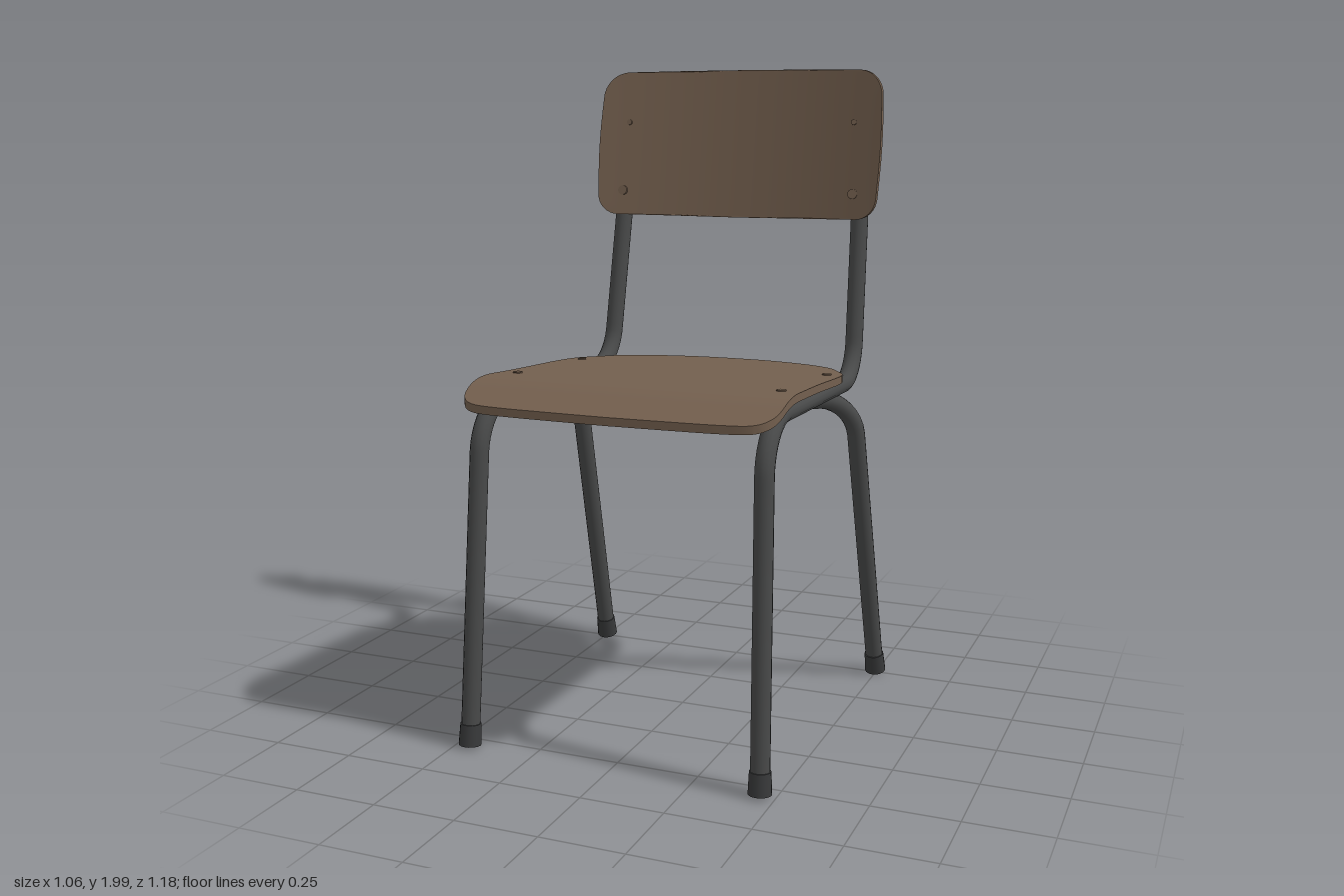
import * as THREE from 'three';
import { toCreasedNormals } from 'three/addons/utils/BufferGeometryUtils.js';

const wood = new THREE.MeshStandardMaterial({ color: 0x735f4e });
wood.name = 'brown wood';
const steel = new THREE.MeshStandardMaterial({ color: 0x484949 });
steel.name = 'dark grey steel';
const rubber = new THREE.MeshStandardMaterial({ color: 0x38393a });
rubber.name = 'black rubber';

const V = (x, y, z) => new THREE.Vector3(x, y, z);
const R = 0.028; // tube radius

function add(group, name, geometry, material) {
  const mesh = new THREE.Mesh(geometry, material);
  mesh.name = name;
  group.add(mesh);
  return mesh;
}

// Straight runs joined by smooth bends; bends[i] is the trim at inner corner i
function bentTube(points, bends) {
  const path = new THREE.CurvePath();
  let from = points[0];
  for (let i = 1; i < points.length - 1; i++) {
    const p = points[i];
    const toward = (q) => p.clone().add(q.clone().sub(p).setLength(bends[i - 1]));
    const a = toward(points[i - 1]), b = toward(points[i + 1]);
    const ka = p.clone().lerp(a, 0.45), kb = p.clone().lerp(b, 0.45);
    path.add(new THREE.LineCurve3(from, a));
    path.add(new THREE.CubicBezierCurve3(a, ka, kb, b));
    from = b;
  }
  path.add(new THREE.LineCurve3(from, points[points.length - 1]));
  return new THREE.TubeGeometry(path, 120, R, 14);
}

// Thin curved panel: rows follow a half outline of [halfWidth, s];
// place(x, s, side) gives the point on the face (side 1) or underside (side 0)
function panel(outline, place, across = 20) {
  const pos = [], index = [], ring = 2 * (across + 1);
  for (const [w, s] of outline) {
    for (let j = 0; j <= across; j++) pos.push(...place(w * (2 * j / across - 1), s, 1).toArray());
    for (let j = across; j >= 0; j--) pos.push(...place(w * (2 * j / across - 1), s, 0).toArray());
  }
  for (let i = 0; i < outline.length - 1; i++) {
    for (let j = 0; j < ring; j++) {
      const a = i * ring + j, b = i * ring + (j + 1) % ring;
      index.push(a, a + ring, b, b, a + ring, b + ring);
    }
  }
  const g = new THREE.BufferGeometry();
  g.setAttribute('position', new THREE.Float32BufferAttribute(pos, 3));
  g.setIndex(index);
  return toCreasedNormals(g, 0.7);
}

// Seat height along z: gentle fall to the back, rolled front edge
const seatLine = new THREE.SplineCurve([[-0.47, 1.047], [-0.3, 1.056], [0, 1.073], [0.25, 1.085],
  [0.36, 1.09], [0.43, 1.083], [0.5, 1.058], [0.57, 1.03]].map((p) => new THREE.Vector2(...p)));
const seatSamples = seatLine.getPoints(140);
function seatY(z) {
  let i = 1;
  while (i < seatSamples.length - 1 && seatSamples[i].x < z) i++;
  const a = seatSamples[i - 1], b = seatSamples[i];
  return a.y + (b.y - a.y) * (z - a.x) / (b.x - a.x);
}

// Backrest surface, bowed backwards in the middle and leaning back
const backZ = (x, y) => -0.492 - (y - 1.52) * 0.16 + 0.062 * (x / 0.48) ** 2;

export function createModel() {
  const chair = new THREE.Group();
  chair.name = 'chair';

  // Seat
  const seatOutline = new THREE.SplineCurve([[0, -0.462], [0.1, -0.457], [0.2, -0.435], [0.3, -0.395],
    [0.37, -0.34], [0.405, -0.285], [0.45, -0.2], [0.465, -0.1], [0.466, 0.1], [0.472, 0.28], [0.48, 0.4],
    [0.478, 0.48], [0.46, 0.527], [0.42, 0.553], [0.34, 0.561], [0.2, 0.564], [0, 0.566]]
    .map((p) => new THREE.Vector2(...p))).getPoints(80).map((p) => [Math.max(p.x, 0), p.y]);
  add(chair, 'seat', panel(seatOutline, (x, z, side) => V(x, seatY(z) - (side ? 0 : 0.024), z)), wood);

  // Backrest with rounded corners
  const backOutline = [[0, 1.994], [0.2, 1.993]];
  const corner = 0.085;
  for (let i = 0; i <= 8; i++) {
    const a = i / 8 * Math.PI / 2;
    backOutline.push([0.396 + corner * Math.sin(a), 1.905 + corner * Math.cos(a)]);
  }
  for (let i = 1; i < 8; i++) backOutline.push([0.481 + 0.006 * Math.sin(i / 8 * Math.PI), 1.905 - i * 0.04]);
  for (let i = 0; i <= 8; i++) {
    const a = i / 8 * Math.PI / 2;
    backOutline.push([0.412 + 0.07 * Math.cos(a), 1.59 - 0.07 * Math.sin(a)]);
  }
  backOutline.push([0.2, 1.517], [0, 1.515]);
  add(chair, 'backrest', panel(backOutline, (x, y, side) => V(x, y, backZ(x, y) + (side ? 0.011 : -0.011))), wood);

  // Rubber foot along the line of a leg
  function foot(name, base, up) {
    const mesh = add(chair, name, new THREE.CylinderGeometry(0.031, 0.034, 0.065, 16), rubber);
    const dir = up.clone().sub(base).normalize();
    mesh.quaternion.setFromUnitVectors(V(0, 1, 0), dir);
    mesh.position.copy(base).addScaledVector(dir, 0.033);
  }

  for (const s of [1, -1]) {
    const side = s > 0 ? 'left' : 'right';

    // Side frame: front leg, seat rail and upright in one bent tube
    const frame = [V(s * 0.455, 0.008, 0.556), V(s * 0.434, 1.036, 0.48),
      V(s * 0.426, 1.014, -0.402), V(s * 0.404, 1.9, -0.558)];
    add(chair, side + 'SideFrame', bentTube(frame, [0.155, 0.12]), steel);
    add(chair, side + 'UprightCap', new THREE.SphereGeometry(R, 14, 8), steel).position.copy(frame[3]);
    foot(side + 'FrontFoot', frame[0], frame[1]);
    foot(side + 'BackFoot', V(s * 0.497, 0.01, -0.503), V(s * 0.475, 0.985, -0.238));

    // Seat and backrest screws
    for (const z of [-0.15, 0.29]) {
      add(chair, 'seatScrew', new THREE.CylinderGeometry(0.014, 0.014, 0.008, 14), wood)
        .position.set(s * 0.415, seatY(z), z);
    }
    for (const [x, y, r] of [[0.4, 1.6, 0.016], [0.39, 1.825, 0.009]]) {
      const screw = add(chair, 'backrestScrew', new THREE.CylinderGeometry(r, r, 0.008, 14), wood);
      screw.rotation.set(Math.PI / 2 - 0.16, 0, 0);
      screw.position.set(s * x, y, backZ(x, y) + 0.012);
    }
  }

  // Back legs: one tube passing across under the seat
  const half = [V(0.497, 0.01, -0.503), V(0.475, 0.985, -0.238), V(0.31, 0.99, -0.05)];
  const mirrored = half.map((p) => V(-p.x, p.y, p.z)).reverse();
  add(chair, 'backLegs', bentTube([...half, ...mirrored], [0.13, 0.11, 0.11, 0.13]), steel);

  // Front cross bar between the side rails
  const bar = add(chair, 'frontCrossBar', new THREE.CylinderGeometry(0.024, 0.024, 0.86, 14), steel);
  bar.rotation.z = Math.PI / 2;
  bar.position.set(0, 1.02, 0.32);

  return chair;
}
